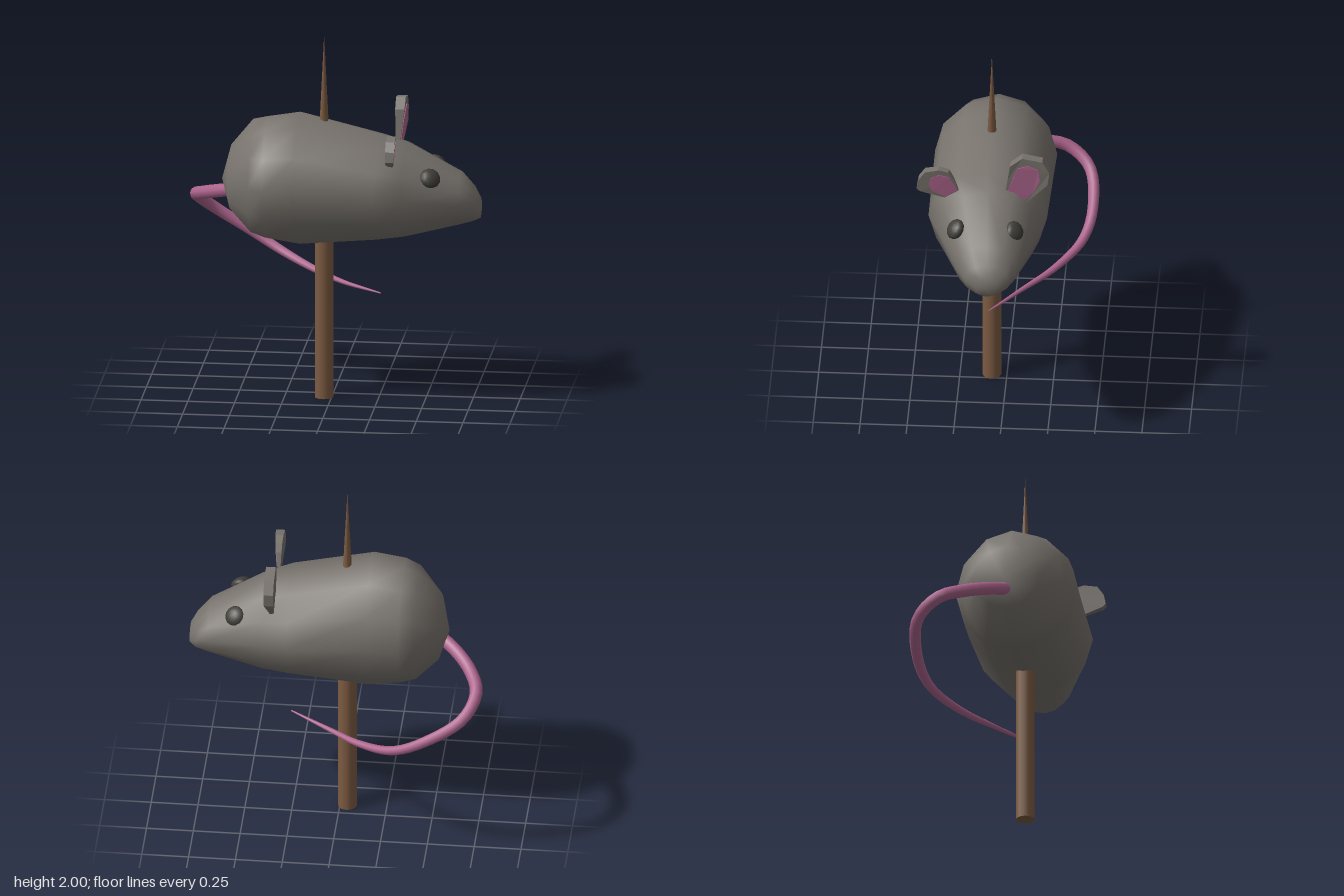
import * as THREE from 'three';

const mat = (name, color, side = THREE.FrontSide) => {
  const m = new THREE.MeshStandardMaterial({ color, side });
  m.name = name;
  return m;
};

function add(group, name, geometry, material) {
  const mesh = new THREE.Mesh(geometry, material);
  mesh.name = name;
  group.add(mesh);
  return mesh;
}

// Skin a list of vertex rings that turn from +y to +z, closed by a pole at each end
function skin(rings, start, end) {
  const n = rings[0].length, pos = [], index = [];
  rings.flat().concat([start, end]).forEach(p => pos.push(p.x, p.y, p.z));
  const s = rings.length * n, e = s + 1, last = s - n;
  for (let j = 0; j < n; j++) {
    const k = (j + 1) % n;
    index.push(s, k, j, e, last + j, last + k);
    for (let i = 0; i < rings.length - 1; i++) {
      const a = i * n, b = a + n;
      index.push(a + j, a + k, b + j, a + k, b + k, b + j);
    }
  }
  const g = new THREE.BufferGeometry();
  g.setAttribute('position', new THREE.Float32BufferAttribute(pos, 3));
  g.setIndex(index);
  g.computeVertexNormals();
  return g;
}

// Body: oval cross-sections from rump to nose
function bodyGeometry() {
  // x, top y, bottom y, min z, max z
  const stations = [
    [-0.54, 1.37, 1.02, -0.13, 0.23],
    [-0.42, 1.52, 0.89, -0.21, 0.34],
    [-0.34, 1.54, 0.87, -0.25, 0.40],
    [-0.17, 1.57, 0.84, -0.245, 0.40],
    [0.26, 1.46, 0.885, -0.23, 0.40],
    [0.40, 1.42, 0.90, -0.19, 0.34],
    [0.69, 1.26, 0.975, -0.10, 0.23],
    [0.76, 1.18, 0.995, -0.06, 0.18],
    [0.795, 1.12, 1.01, 0.0, 0.12],
  ];
  const rings = stations.map(([x, top, bottom, z0, z1]) =>
    Array.from({ length: 12 }, (_, j) => {
      const a = j / 12 * Math.PI * 2;
      return new THREE.Vector3(x,
        (top + bottom) / 2 + (top - bottom) / 2 * Math.cos(a),
        (z0 + z1) / 2 + (z1 - z0) / 2 * Math.sin(a));
    }));
  return skin(rings, new THREE.Vector3(-0.59, 1.18, 0.04), new THREE.Vector3(0.8, 1.06, 0.06));
}

// Tail: tapered tube along a curve
function tailGeometry() {
  const curve = new THREE.CatmullRomCurve3([
    [-0.52, 1.13, 0.07], [-0.62, 1.095, -0.01], [-0.72, 1.045, -0.14], [-0.763, 0.995, -0.28],
    [-0.70, 0.905, -0.40], [-0.50, 0.77, -0.43], [-0.33, 0.675, -0.385],
    [-0.14, 0.615, -0.25], [0.04, 0.59, -0.09], [0.26, 0.583, 0.08],
  ].map(p => new THREE.Vector3(...p)));
  const steps = 40, sides = 10;
  const g = new THREE.TubeGeometry(curve, steps, 1, sides);
  const p = g.attributes.position, v = new THREE.Vector3();
  for (let i = 0; i <= steps; i++) {
    const t = i / steps, c = curve.getPointAt(t), r = 0.004 + 0.032 * (1 - t * t);
    for (let j = 0; j <= sides; j++) {
      const k = i * (sides + 1) + j;
      v.fromBufferAttribute(p, k).sub(c).multiplyScalar(r).add(c);
      p.setXYZ(k, v.x, v.y, v.z);
    }
  }
  return g;
}

// Ear plate from a (z, y) outline, facing +x and thickening away from its base
function earGeometry(outline, base, back, front) {
  const shape = new THREE.Shape(outline.map(([z, y]) => new THREE.Vector2(-z, y)));
  const g = new THREE.ExtrudeGeometry(shape, { depth: 1, bevelEnabled: false });
  g.rotateY(Math.PI / 2);
  const p = g.attributes.position;
  for (let i = 0; i < p.count; i++) {
    const d = Math.hypot(p.getZ(i) - base[0], p.getY(i) - base[1]);
    const face = 0.345 + Math.min(d, 0.22) * 0.14;
    p.setX(i, p.getX(i) > 0.5 ? face + front : back === null ? face : back - d * 0.04);
  }
  g.computeVertexNormals();
  return g;
}

export function createModel() {
  const model = new THREE.Group();
  model.name = 'mouseOnStake';
  const fur = mat('greyFur', 0x77726c);
  const pink = mat('pinkSkin', 0xac648c, THREE.DoubleSide);
  const wood = mat('brownWood', 0x7c5b42);
  const dark = mat('darkEye', 0x3e3d37);

  add(model, 'body', bodyGeometry(), fur);
  add(model, 'tail', tailGeometry(), pink);

  // Stake: shaft below, long point above
  const shaft = add(model, 'stakeShaft', new THREE.CylinderGeometry(0.05, 0.05, 1, 12), wood);
  shaft.position.set(-0.04, 0.5, 0.08);
  const point = add(model, 'stakePoint', new THREE.ConeGeometry(0.05, 1, 12), wood);
  point.position.set(-0.04, 1.5, 0.08);

  // Eyes: flattened balls lying on the cheeks
  for (const [name, z, side] of [['rightEye', 0.24, 1], ['leftEye', -0.075, -1]]) {
    const eye = add(model, name, new THREE.SphereGeometry(0.056, 12, 8), dark);
    eye.scale.set(1, 0.6, 1);
    eye.position.set(0.545, 1.27, z);
    eye.quaternion.setFromUnitVectors(new THREE.Vector3(0, 1, 0),
      new THREE.Vector3(0.4, 0.62, 0.68 * side).normalize());
  }

  // Ears: grey shell with a thin pink inner face
  const ears = [
    {
      name: 'rightEar', base: [0.26, 1.36],
      shell: [[0.235, 1.39], [0.31, 1.345], [0.44, 1.392], [0.457, 1.41], [0.447, 1.464],
        [0.413, 1.512], [0.34, 1.525], [0.287, 1.51], [0.262, 1.465]],
      inner: [[0.24, 1.395], [0.305, 1.353], [0.378, 1.395], [0.393, 1.44],
        [0.385, 1.472], [0.34, 1.495], [0.285, 1.48]],
    },
    {
      name: 'leftEar', base: [-0.06, 1.34],
      shell: [[-0.01, 1.36], [-0.125, 1.33], [-0.24, 1.455], [-0.25, 1.53], [-0.213, 1.597],
        [-0.106, 1.618], [-0.04, 1.565], [-0.027, 1.475]],
      inner: [[-0.017, 1.363], [-0.112, 1.343], [-0.16, 1.395], [-0.2, 1.48], [-0.19, 1.55],
        [-0.138, 1.575], [-0.08, 1.555], [-0.058, 1.5]],
    },
  ];
  for (const { name, base, shell, inner } of ears) {
    const ear = new THREE.Group();
    ear.name = name;
    add(ear, name + 'Shell', earGeometry(shell, base, 0.335, 0), fur);
    add(ear, name + 'Inner', earGeometry(inner, base, null, 0.004), pink);
    model.add(ear);
  }
  return model;
}
